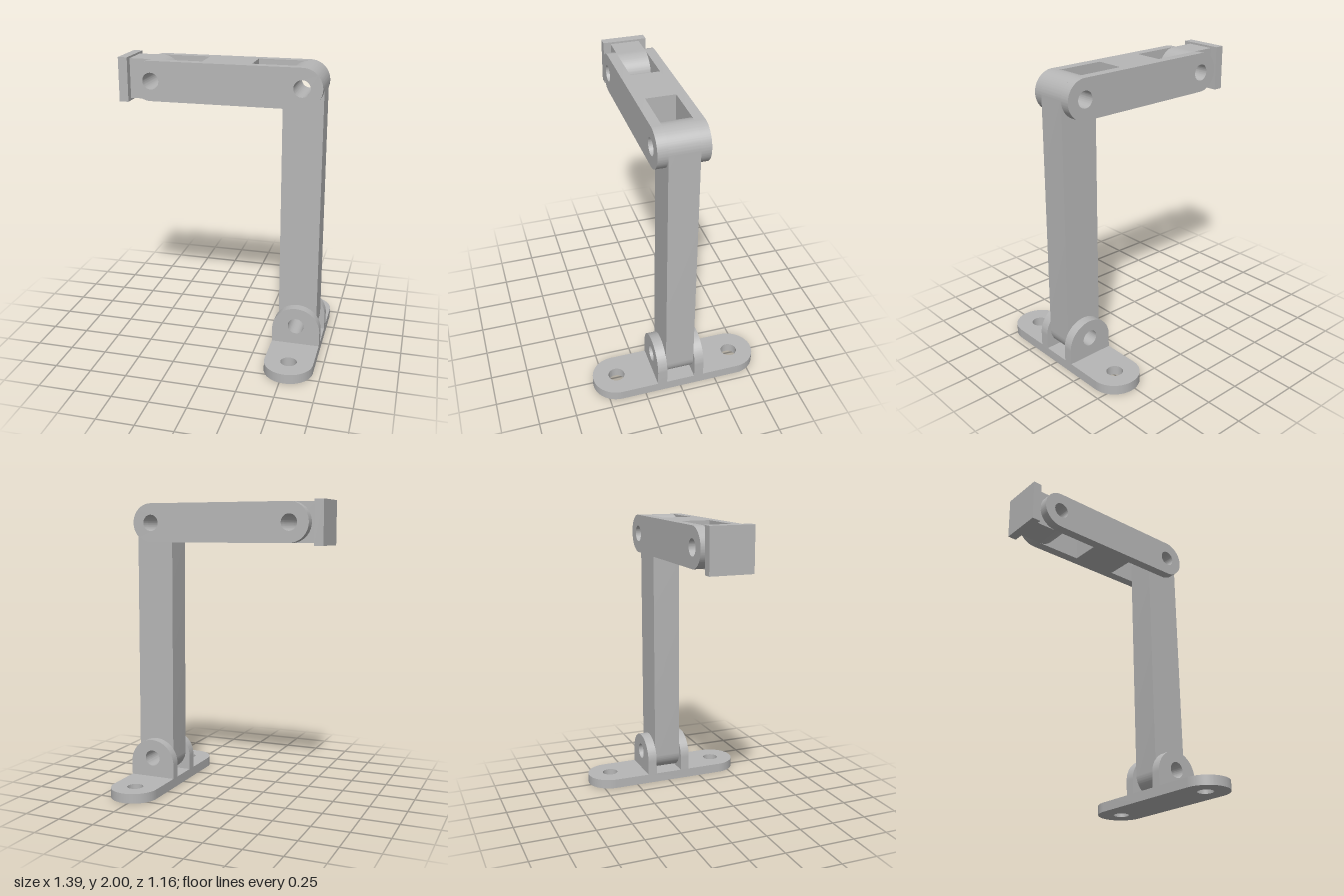
import * as THREE from 'three';
import { toCreasedNormals } from 'three/addons/utils/BufferGeometryUtils.js';

const HOLE = 0.055;

// Shape around the two points a and b; each end is round or square, with holes at the given points
function linkShape(a, b, r, roundA, roundB, holes) {
  const t = Math.atan2(b[1] - a[1], b[0] - a[0]);
  const nx = -Math.sin(t) * r, ny = Math.cos(t) * r;
  const s = new THREE.Shape();
  s.moveTo(a[0] - nx, a[1] - ny);
  s.lineTo(b[0] - nx, b[1] - ny);
  if (roundB) s.absarc(b[0], b[1], r, t - Math.PI / 2, t + Math.PI / 2, false);
  else s.lineTo(b[0] + nx, b[1] + ny);
  s.lineTo(a[0] + nx, a[1] + ny);
  if (roundA) s.absarc(a[0], a[1], r, t + Math.PI / 2, t + Math.PI * 1.5, false);
  for (const [x, y] of holes) {
    s.holes.push(new THREE.Path().absarc(x, y, HOLE, 0, Math.PI * 2, true));
  }
  return s;
}

function extrude(shape, from, to) {
  const g = new THREE.ExtrudeGeometry(shape, { depth: to - from, bevelEnabled: false, curveSegments: 32 });
  g.translate(0, 0, from);
  return toCreasedNormals(g, 0.6);
}

export function createModel() {
  const group = new THREE.Group();
  const grey = new THREE.MeshStandardMaterial({ color: 0xb6b6b6 });
  grey.name = 'plain grey';

  const add = (name, geometry) => {
    const mesh = new THREE.Mesh(geometry, grey);
    mesh.name = name;
    group.add(mesh);
    return mesh;
  };
  const box = (name, x0, x1, y0, y1, halfZ) => {
    const m = add(name, new THREE.BoxGeometry(x1 - x0, y1 - y0, halfZ * 2));
    m.position.set((x0 + x1) / 2, (y0 + y1) / 2, 0);
  };

  const foot = [0.532, 0.2], elbow = [0.523, 1.855], wrist = [-0.473, 1.855];
  const inner = 0.098, outer = 0.163, r = 0.132;

  // Base plate with two screw holes, lying flat
  const baseX = 0.532, baseR = 0.165, baseTop = 0.066;
  const base = extrude(
    linkShape([baseX, -0.415], [baseX, 0.415], baseR, true, true, [[baseX, -0.415], [baseX, 0.415]]),
    0, baseTop);
  base.rotateX(-Math.PI / 2);
  add('basePlate', base);

  // Forked parts: a lug and an arm cheek on each side
  for (const [side, z0, z1] of [['front', inner, outer], ['back', -outer, -inner]]) {
    add(side + 'BaseLug', extrude(
      linkShape([baseX, baseTop], [baseX, 0.166], baseR, false, true, [foot]), z0, z1));
    add(side + 'ArmCheek', extrude(
      linkShape(wrist, elbow, r, true, true, [wrist, elbow]), z0, z1));
  }

  // Solid middle of the upper arm between its two slots
  box('armCore', -0.14, 0.19, 1.855 - r, 1.855 + r, inner);

  // Leaning upright, rounded at both joints
  add('upright', extrude(linkShape(foot, elbow, r, true, true, [foot, elbow]), -inner, inner));

  // End piece: tongue in the fork and a square plate
  add('endTongue', extrude(
    linkShape([-0.636, 1.855], wrist, r, false, true, [wrist]), -inner, inner));
  box('endPlate', -0.698, -0.636, 1.706, 2.0, 0.148);

  return group;
}
